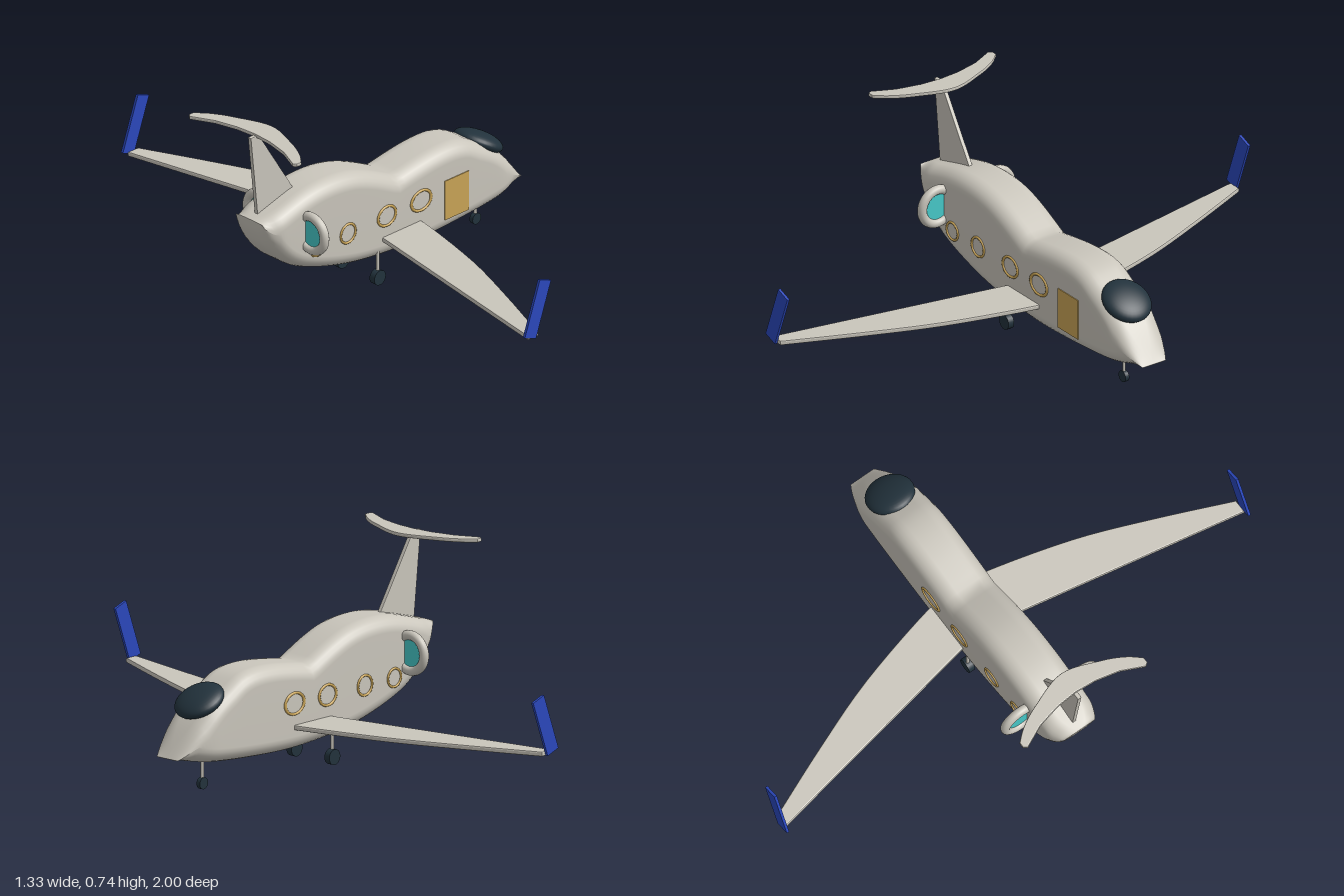
import * as THREE from 'three';

const mat = (name, color, extra = {}) => Object.assign(new THREE.MeshStandardMaterial({ color, ...extra }), { name });

// Sample smooth splines through [x, y] points; return a lookup y(x) for increasing x
function profile(...runs) {
  const pts = runs.flatMap(r => new THREE.SplineCurve(r.map(p => new THREE.Vector2(...p))).getPoints(60));
  return x => {
    let i = 1;
    while (i < pts.length - 1 && pts[i].x < x) i++;
    const a = pts[i - 1], b = pts[i];
    const t = b.x === a.x ? 0 : THREE.MathUtils.clamp((x - a.x) / (b.x - a.x), 0, 1);
    return a.y + (b.y - a.y) * t;
  };
}

// Fuselage: rounded-box cross-sections swept from tail to nose
function fuselageGeometry() {
  const top = profile(
    [[-0.625, 0.415], [-0.55, 0.437], [-0.42, 0.471], [-0.31, 0.48], [-0.2, 0.468], [-0.1, 0.435], [0.02, 0.378]],
    [[0.02, 0.378], [0.1, 0.392], [0.2, 0.405], [0.29, 0.407], [0.36, 0.394], [0.42, 0.363], [0.5, 0.315], [0.57, 0.252], [0.66, 0.141]]);
  const bottom = profile(
    [[-0.625, 0.411], [-0.613, 0.36], [-0.58, 0.295], [-0.5, 0.216], [-0.4, 0.166], [-0.25, 0.121],
      [-0.1, 0.096], [0.1, 0.083], [0.3, 0.09], [0.5, 0.108], [0.66, 0.139]]);
  const sections = 72, steps = 7, ring = steps * 4, pos = [], idx = [];
  for (let i = 0; i <= sections; i++) {
    const x = 0.0175 - 0.6425 * Math.cos(Math.PI * i / sections);
    const t = top(x), b = bottom(x), h = t - b, e = 0.004;
    const w = 0.1 - 0.05 * Math.max(0, (x - 0.5) / 0.16) ** 2 - 0.035 * Math.max(0, (-0.54 - x) / 0.085) ** 2;
    const rz = Math.min(0.06, w);
    const radius = f => 0.055 * Math.hypot(1, (f(x + e) - f(x - e)) / (2 * e));
    const rt = Math.min(radius(top), h * 0.45), rb = Math.min(radius(bottom), h * 0.55);
    for (let q = 0; q < 4; q++) for (let k = 0; k < steps; k++) {
      const a = (q + k / (steps - 1)) * Math.PI / 2;
      const sz = q === 0 || q === 3 ? 1 : -1;
      const y = q < 2 ? t - rt + rt * Math.sin(a) : b + rb + rb * Math.sin(a);
      pos.push(x, y, sz * (w - rz) + rz * Math.cos(a));
    }
  }
  for (let i = 0; i < sections; i++) for (let j = 0; j < ring; j++) {
    const a = i * ring + j, b = i * ring + (j + 1) % ring;
    idx.push(a, a + ring, b, b, a + ring, b + ring);
  }
  // End caps
  const last = sections * ring;
  for (let j = 1; j < ring - 1; j++) idx.push(0, j, j + 1, last, last + j + 1, last + j);
  const g = new THREE.BufferGeometry();
  g.setAttribute('position', new THREE.Float32BufferAttribute(pos, 3));
  g.setIndex(idx);
  g.computeVertexNormals();
  return g;
}

// Thin plate with softened edges, centred on its own thickness
function plate(points, thickness, soft) {
  const g = new THREE.ExtrudeGeometry(new THREE.Shape(points), {
    depth: thickness - 2 * soft, bevelThickness: soft, bevelSize: soft, bevelOffset: -soft, bevelSegments: 2,
  });
  return g.translate(0, 0, soft - thickness / 2);
}

// Left-right symmetric planform from half outlines given as [x, z], root to tip
function planform(leading, trailing, thickness, soft) {
  const mirrored = pts => [...pts.slice(1).reverse().map(([x, z]) => [x, -z]), ...pts].map(p => new THREE.Vector2(...p));
  const curve = pts => new THREE.SplineCurve(mirrored(pts)).getPoints(40);
  const outline = [...curve(leading), ...mirrored(trailing).reverse()];
  return plate(outline, thickness, soft).rotateX(-Math.PI / 2);
}

export function createModel() {
  const body = mat('body grey', 0xcac6bc), blue = mat('winglet blue', 0x2b48bd), dark = mat('dark slate', 0x22323c);
  const gold = mat('gold trim', 0xcaa557), teal = mat('engine teal', 0x48cccc);
  const model = new THREE.Group();
  model.name = 'airplane';
  const add = (name, geometry, material, x = 0, y = 0, z = 0) => {
    const m = new THREE.Mesh(geometry, material);
    m.name = name;
    m.position.set(x, y, z);
    model.add(m);
    return m;
  };

  add('fuselage', fuselageGeometry(), body);

  // Windshield bubble
  const glass = add('windshield', new THREE.SphereGeometry(1, 32, 20), dark, 0.497, 0.32, 0);
  glass.scale.set(0.093, 0.036, 0.09);
  glass.rotation.z = -0.5;

  // Wings and tail surfaces
  add('wings', planform(
    [[0.122, 0], [0.116, 0.12], [0.03, 0.445], [-0.075, 0.72], [-0.19, 0.99]],
    [[-0.052, 0], [-0.24, 0.99]], 0.018, 0.005), body, 0, 0.17, 0);
  add('tailplane', planform(
    [[-0.512, 0], [-0.555, 0.14], [-0.595, 0.22], [-0.635, 0.268]],
    [[-0.598, 0], [-0.604, 0.08], [-0.625, 0.17], [-0.665, 0.255], [-0.655, 0.268]], 0.014, 0.004), body, 0, 0.732, 0);
  const fin = [[-0.59, 0.41], [-0.4, 0.44], [-0.42, 0.472], [-0.585, 0.732], [-0.624, 0.732]];
  add('tailFin', plate(fin.map(p => new THREE.Vector2(...p)), 0.016, 0.003), body);

  // Door on one side
  add('door', new THREE.BoxGeometry(0.118, 0.152, 0.008), gold, 0.291, 0.215, 0.099);

  const windows = [[-0.39, 0.033, 0.033], [-0.24, 0.036, 0.036], [-0.05, 0.043, 0.037], [0.118, 0.048, 0.038]];
  for (const s of [1, -1]) {
    const side = s > 0 ? 'right' : 'left';

    add(side + 'Winglet', new THREE.BoxGeometry(0.058, 0.215, 0.01), blue, -0.2, 0.273, s * 0.995).rotation.z = -0.35;

    // Window frames
    for (const [x, rx, ry] of windows)
      add(side + 'WindowFrame', new THREE.TorusGeometry(1, 0.13, 8, 28), gold, x, 0.257, s * 0.1).scale.set(rx, ry, 0.04);

    // Engine ring with its disc
    add(side + 'EngineRing', new THREE.TorusGeometry(0.064, 0.017, 14, 40), body, -0.445, 0.34, s * 0.127).rotation.y = Math.PI / 2;
    add(side + 'EngineDisc', new THREE.CylinderGeometry(0.056, 0.056, 0.008, 32), teal, -0.445, 0.34, s * 0.127).rotation.z = Math.PI / 2;
  }

  // Landing gear: [x, z, wheel radius, wheel width, strut top]
  for (const [name, x, z, r, w, up] of [
    ['rightGear', -0.085, 0.09, 0.028, 0.024, 0.15],
    ['leftGear', -0.085, -0.09, 0.028, 0.024, 0.15],
    ['noseGear', 0.482, 0, 0.021, 0.016, 0.13],
  ]) {
    add(name + 'Wheel', new THREE.CylinderGeometry(r, r, w, 24), dark, x, r, z).rotation.x = Math.PI / 2;
    add(name + 'Strut', new THREE.CylinderGeometry(0.006, 0.006, up - r, 12), body, x, (up + r) / 2, z);
  }
  return model;
}
